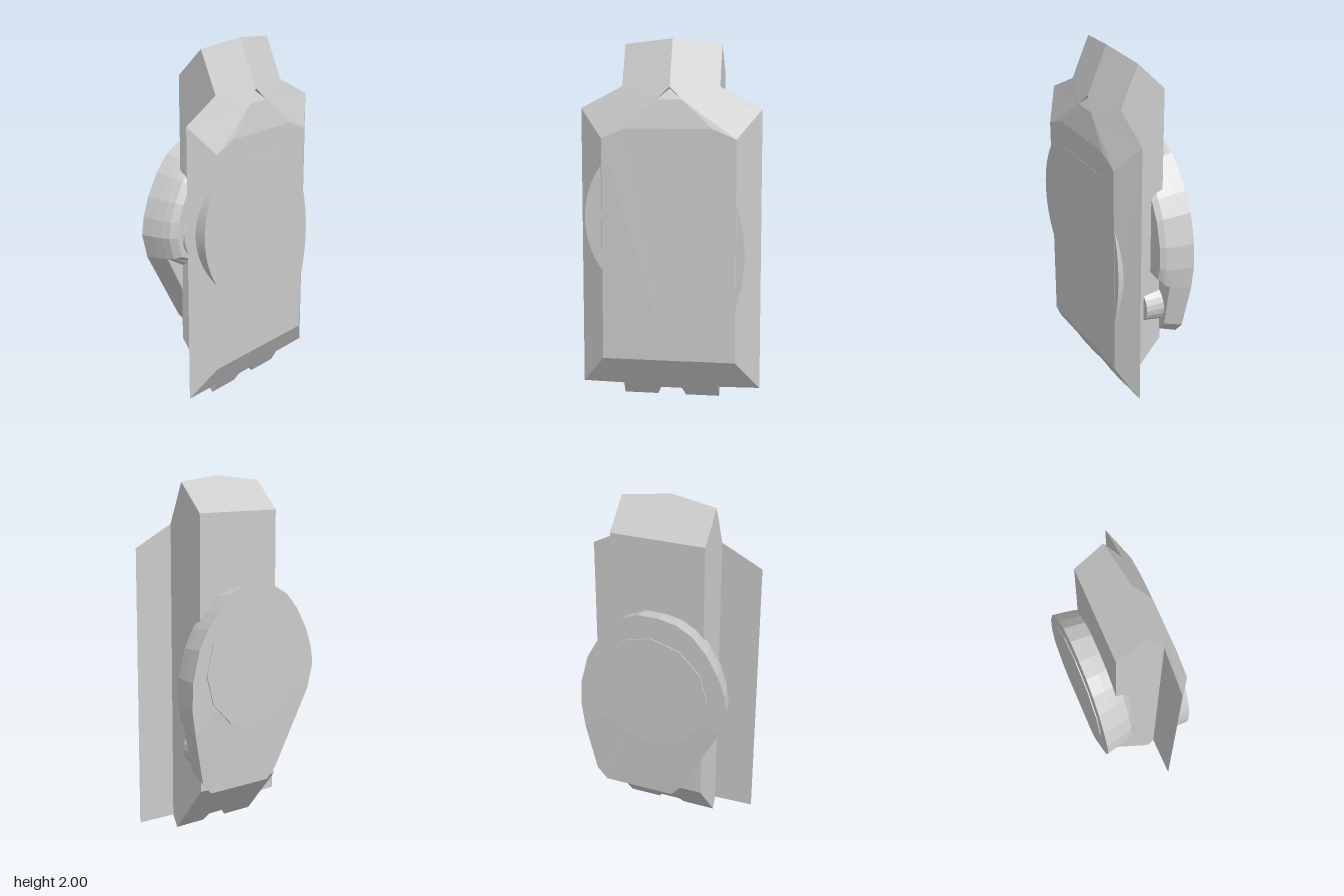
import * as THREE from 'three';

const material = new THREE.MeshStandardMaterial({ color: 0xcccccc, flatShading: true });

function addMesh(group, name, geometry) {
  const mesh = new THREE.Mesh(geometry, material);
  mesh.name = name;
  group.add(mesh);
  return mesh;
}

// Fans of triangles from polygons given as lists of [x, y, z]
function polygons(faces) {
  const out = [];
  for (const f of faces)
    for (let i = 1; i < f.length - 1; i++) out.push(...f[0], ...f[i], ...f[i + 1]);
  const g = new THREE.BufferGeometry();
  g.setAttribute('position', new THREE.Float32BufferAttribute(out, 3));
  g.computeVertexNormals();
  return g;
}

const mirrorX = faces => faces.concat(faces.map(f => f.map(([x, y, z]) => [-x, y, z]).reverse()
  // keep the same fan origin after reversing
  .map((_, i, a) => a[(i + a.length - 1) % a.length])));

// Bevelled shield plate and the spine behind it, described for x >= 0
function bodyGeometry() {
  const top0 = [0, 2, 0.08], top1 = [0.27, 1.97, 0.045];
  const neck = [0.27, 1.74, 0.145], shoulder = [0.5, 1.62, 0.15];
  const corner = [0.37, 1.46, 0.243], brow = [0.24, 1.515, 0.24], brow0 = [0, 1.515, 0.24];
  const lip = [0.07, 1.67, 0.211], lip0 = [0, 1.67, 0.211];
  const ridge = [0, 1.74, 0.193], nook = [0, 1.73, 0.18];
  const low = [0.37, 0.23, 0.24], low0 = [0, 0.23, 0.24], hem = [0.5, 0.07, 0.15];
  const foot = [0.27, 0, 0.11], footTop = [0.27, 0.065, 0.147];
  const slot0 = [0, 0.045, 0.135], slot1 = [0.06, 0.045, 0.135], slot2 = [0.08, 0, 0.11];
  const slotB0 = [0, 0.045, 0.0725], slotB1 = [0.06, 0.045, 0.0725];
  const back = [0.27, 0.27, -0.115], back0 = [0, 0.27, -0.115];
  const backTop = [0.27, 1.81, -0.115], backTop0 = [0, 1.81, -0.115];
  return polygons(mirrorX([
    [lip, brow, corner, shoulder, neck, top1, top0, ridge], // sloping head
    [brow0, brow, lip, lip0],
    [lip0, lip, nook], [lip, ridge, nook],                  // small notch under the ridge
    [low0, low, corner, brow, brow0],                       // front
    [low, hem, shoulder, corner],                           // side bevel
    [footTop, hem, low, low0, slot0, slot1, slot2, foot],   // bottom bevel
    [neck, shoulder, hem, footTop],                         // back of the wing
    [foot, back, backTop, top1, neck, footTop],             // spine side
    [backTop0, backTop, back, back0],                       // spine back
    [top0, top1, backTop, backTop0],                        // spine top
    [back, foot, slot2, slotB1, slotB0, back0],             // spine bottom
    [slotB0, slotB1, slot1, slot0], [slot2, slot1, slotB1], // slot in the foot
  ]));
}

// Circular segment bulging past the plate edge; side is +1 or -1
function bulgeGeometry(side, y, half, height) {
  const s = new THREE.Shape();
  const n = 20, r = (half * half + height * height) / (2 * height);
  const a = Math.asin(half / r);
  for (let i = 0; i <= n; i++) {
    const t = -a + (2 * a * i) / n;
    const x = side * (0.37 + height - r + r * Math.cos(t));
    if (i) s.lineTo(x, y + r * Math.sin(t)); else s.moveTo(x, y + r * Math.sin(t));
  }
  s.closePath();
  const g = new THREE.ExtrudeGeometry(s, { depth: 0.078, bevelEnabled: false });
  return g.translate(0, 0, 0.162);
}

// Teardrop bowl lofted from its rear rim forward
function bowlGeometry() {
  const rim = [[0.06, 1.42], [-0.06, 1.42], [-0.16, 1.4], [-0.25, 1.35], [-0.33, 1.26], [-0.4, 1.14],
    [-0.44, 1.03], [-0.455, 0.93], [-0.42, 0.79], [-0.19, 0.36], [-0.13, 0.29], [0.28, 0.29],
    [0.34, 0.36], [0.4, 0.64], [0.42, 0.78], [0.415, 0.93], [0.37, 1.1], [0.31, 1.21],
    [0.24, 1.3], [0.16, 1.38]];
  // z, scale, lowest y
  const sections = [[-0.237, 1, 0], [-0.165, 0.97, 0], [-0.11, 0.94, 0], [-0.105, 0.935, 0.67],
    [-0.075, 0.915, 0.69], [-0.045, 0.85, 0.73]];
  const loops = sections.map(([z, s, minY], k) => rim.map(([x, y]) => [
    0.1 + (x - 0.1) * s,
    Math.max(0.95 + (y - 0.95) * s, minY),
    k ? z : z + Math.max(0, 0.62 - y) * 0.06,
  ]));
  const n = rim.length, faces = [];
  const last = loops[loops.length - 1];
  for (let i = 0; i < n; i++) {
    const j = (i + 1) % n;
    for (let k = 0; k < loops.length - 1; k++)
      faces.push([loops[k][i], loops[k][j], loops[k + 1][j], loops[k + 1][i]]);
    faces.push([[0, 0.95, -0.237], loops[0][j], loops[0][i]]);
    faces.push([[0.05, 0.95, -0.045], last[i], last[j]]);
  }
  return polygons(faces);
}

// Round stud along z
function stud(group, name, x, y, z0, z1, rBack, rFront, sides) {
  const g = new THREE.CylinderGeometry(rFront, rBack, z1 - z0, sides);
  g.rotateX(Math.PI / 2);
  addMesh(group, name, g).position.set(x, y, (z0 + z1) / 2);
}

export function createModel() {
  const model = new THREE.Group();
  model.name = 'shieldWithRearBowl';

  addMesh(model, 'plateAndSpine', bodyGeometry());
  addMesh(model, 'rightBulge', bulgeGeometry(-1, 1.025, 0.295, 0.095));
  addMesh(model, 'leftBulge', bulgeGeometry(1, 0.83, 0.29, 0.045));

  // Fine seam below the head
  addMesh(model, 'headSeam', new THREE.BoxGeometry(0.74, 0.005, 0.01)).position.set(0, 1.37, 0.236);

  addMesh(model, 'rearBowl', bowlGeometry());
  stud(model, 'rearDisc', -0.01, 0.96, -0.243, -0.23, 0.335, 0.335, 12);
  stud(model, 'leftKnob', 0.21, 0.5, -0.11, -0.005, 0.115, 0.1, 20);
  stud(model, 'rightKnob', -0.23, 0.9, -0.06, -0.03, 0.1, 0.1, 20);
  return model;
}
